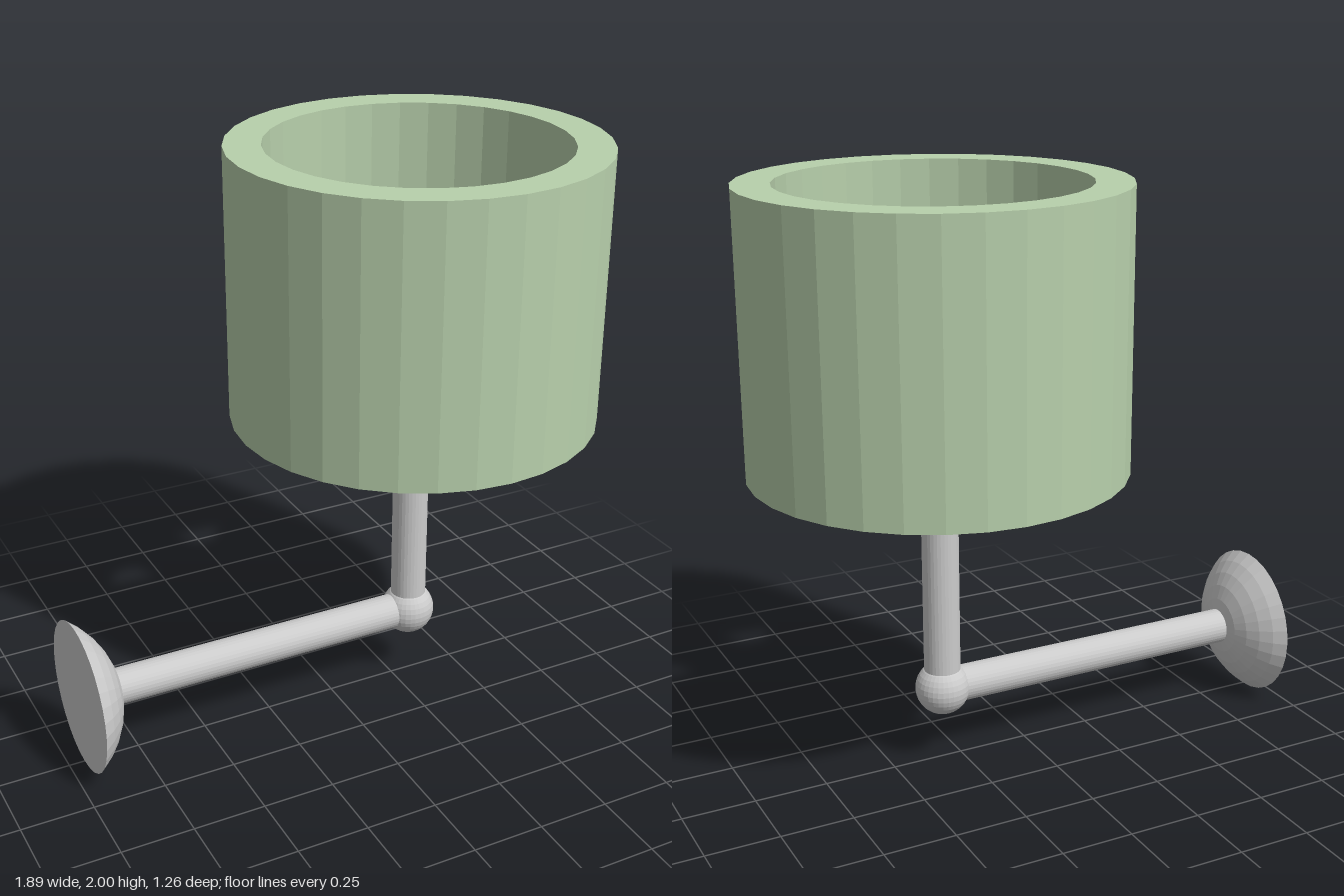
import * as THREE from 'three';

const metal = new THREE.MeshStandardMaterial({ color: 0xcccccc, flatShading: true });
const shadeGreen = new THREE.MeshStandardMaterial({ color: 0xb8d0ac, flatShading: true });

const AXIS_X = 0.315;   // lamp axis
const ARM_Y = 0.265;    // height of the wall arm
const HUB_Y = 1.53;     // middle of the shade

export function createModel() {
  const model = new THREE.Group();

  const add = (name, geometry, material, x, y, z = 0) => {
    const mesh = new THREE.Mesh(geometry, material);
    mesh.name = name;
    mesh.position.set(x, y, z);
    model.add(mesh);
    return mesh;
  };
  const lathe = (points, segments) =>
    new THREE.LatheGeometry(points.map(([r, y]) => new THREE.Vector2(r, y)), segments);

  // Thick open drum shade
  const outer = 0.63, inner = 0.505, low = 1.06, high = 2;
  add('shade', lathe([[outer, low], [outer, high], [inner, high], [inner, low], [outer, low]], 32),
    shadeGreen, AXIS_X, 0);

  // Domed wall plate: a spherical cap with a flat back, domed toward +x
  const R = 0.324, depth = 0.136, rim = Math.acos((R - depth) / R);
  const cap = [[0, 0]];
  for (let i = 0; i <= 6; i++) {
    const a = rim * (1 - i / 6);
    cap.push([R * Math.sin(a), R * Math.cos(a) - R + depth]);
  }
  add('wallPlate', lathe(cap, 32), metal, -0.945, ARM_Y).rotation.z = -Math.PI / 2;

  // Arm, elbow ball and upright stem
  const armStart = -0.88, armLength = AXIS_X - armStart;
  add('arm', new THREE.CylinderGeometry(0.0625, 0.0625, armLength, 32), metal,
    armStart + armLength / 2, ARM_Y).rotation.z = Math.PI / 2;
  add('elbow', new THREE.SphereGeometry(0.094, 32, 16), metal, AXIS_X, ARM_Y);
  add('stem', new THREE.CylinderGeometry(0.0625, 0.0625, HUB_Y - ARM_Y, 32), metal,
    AXIS_X, (HUB_Y + ARM_Y) / 2);

  // Bulb with four spokes reaching the inside of the shade
  add('bulb', new THREE.SphereGeometry(0.155, 32, 16), metal, AXIS_X, HUB_Y);
  const spoke = new THREE.CylinderGeometry(0.03, 0.03, 0.52, 16);
  spoke.rotateZ(Math.PI / 2).translate(0.26, 0, 0);
  for (let i = 0; i < 4; i++) {
    add('spoke', spoke, metal, AXIS_X, HUB_Y).rotation.y = i * Math.PI / 2;
  }

  return model;
}
